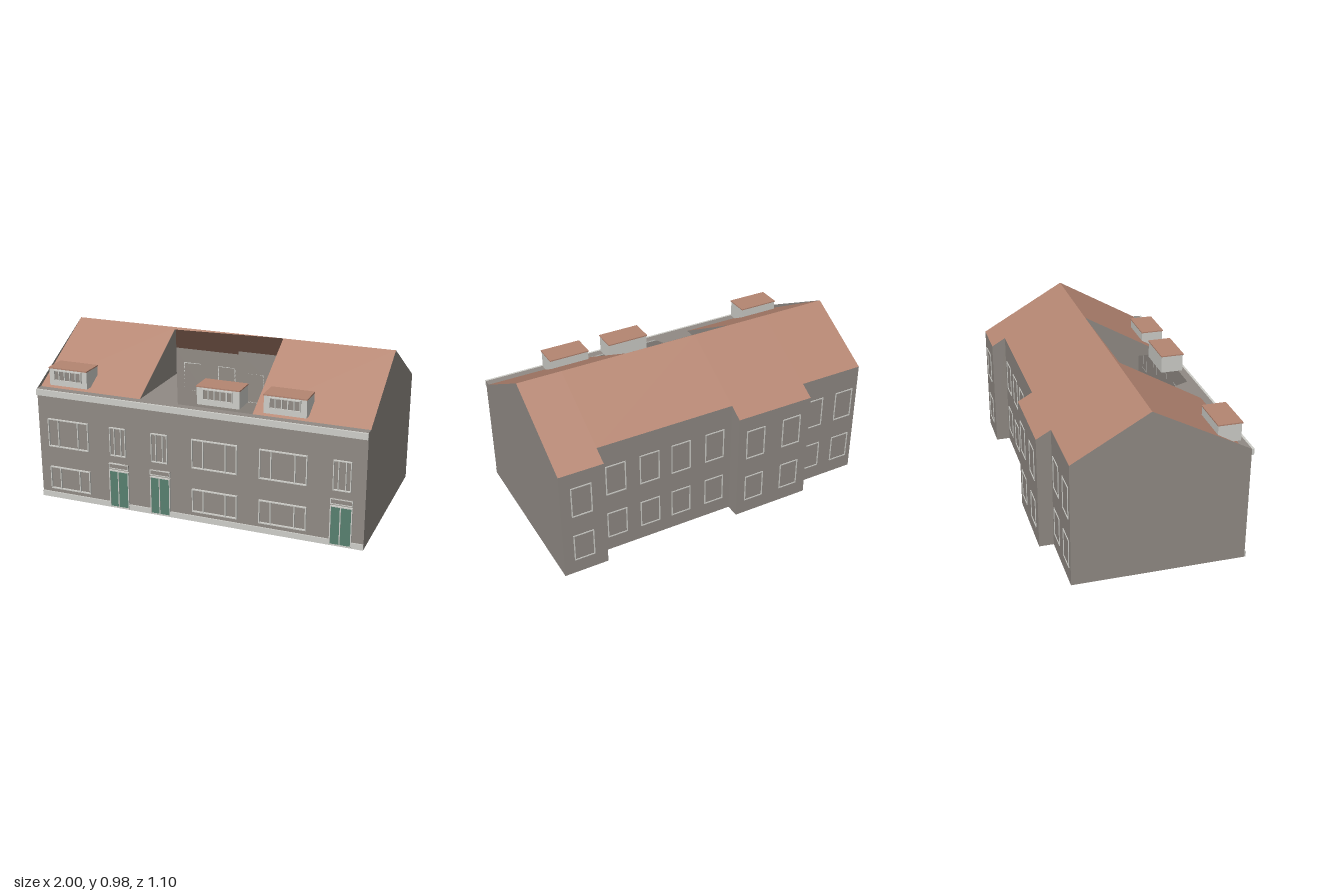
import * as THREE from 'three';

const mat = (name, color, side = THREE.FrontSide) => {
  const m = new THREE.MeshStandardMaterial({ color, side });
  m.name = name;
  return m;
};

const RIDGE_Z = -0.025, RIDGE_Y = 0.98, EAVE_Y = 0.685, EAVE_Z = 0.49;
const FRONT_Z = 0.535, BAY_Z = -0.545, BACK_Z = -0.46;
const HOLE_L = -0.35, HOLE_R = 0.335;

// Roof height at a given depth
const roofY = z => z < RIDGE_Z
  ? RIDGE_Y - (RIDGE_Y - EAVE_Y) * (RIDGE_Z - z) / 0.52
  : Math.max(EAVE_Y, RIDGE_Y - (RIDGE_Y - EAVE_Y) * (z - RIDGE_Z) / 0.515);

// One flat-shaded mesh from a list of convex polygons
function polygons(name, material, faces) {
  const pos = [];
  for (const f of faces)
    for (let i = 1; i < f.length - 1; i++) pos.push(...f[0], ...f[i], ...f[i + 1]);
  const g = new THREE.BufferGeometry();
  g.setAttribute('position', new THREE.Float32BufferAttribute(pos, 3));
  g.computeVertexNormals();
  const mesh = new THREE.Mesh(g, material);
  mesh.name = name;
  return mesh;
}

// Box given by its limits
function box(name, material, x0, x1, y0, y1, z0, z1) {
  const mesh = new THREE.Mesh(new THREE.BoxGeometry(x1 - x0, y1 - y0, z1 - z0), material);
  mesh.position.set((x0 + x1) / 2, (y0 + y1) / 2, (z0 + z1) / 2);
  mesh.name = name;
  return mesh;
}

// Rectangular frame with optional upright bars
function frame(name, material, x0, x1, y0, y1, z0, z1, bars = [], t = 0.006) {
  const g = new THREE.Group();
  g.name = name;
  g.add(box('sill', material, x0, x1, y0, y0 + t, z0, z1));
  g.add(box('head', material, x0, x1, y1 - t, y1, z0, z1));
  for (const x of [x0 + t / 2, x1 - t / 2, ...bars])
    g.add(box('upright', material, x - t / 2, x + t / 2, y0 + t, y1 - t, z0, z1));
  return g;
}

export function createModel() {
  const wall = mat('wall grey', 0x918b85, THREE.DoubleSide);
  const roof = mat('roof terracotta', 0xb58672, THREE.DoubleSide);
  const trim = mat('trim light grey', 0xcecec9);
  const green = mat('door green', 0x57806f);
  const model = new THREE.Group();
  model.name = 'terraceBuilding';

  // Hollow wall shell, following the stepped back
  const plan = [[1, BAY_Z], [0.735, BAY_Z], [0.735, BACK_Z], [-0.11, BACK_Z],
    [-0.11, BAY_Z], [-0.595, BAY_Z], [-0.595, BACK_Z], [-1, BACK_Z]];
  const walls = [];
  for (let i = 0; i < plan.length - 1; i++) {
    const [ax, az] = plan[i], [bx, bz] = plan[i + 1];
    walls.push([[ax, 0, az], [bx, 0, bz], [bx, roofY(bz), bz], [ax, roofY(az), az]]);
  }
  walls.push([[-1, 0, FRONT_Z], [1, 0, FRONT_Z], [1, EAVE_Y, FRONT_Z], [-1, EAVE_Y, FRONT_Z]]);
  for (const [x, back] of [[1, BAY_Z], [-1, BACK_Z]]) {
    const gable = [[x, 0, FRONT_Z], [x, 0, back], [x, roofY(back), back],
      [x, RIDGE_Y, RIDGE_Z], [x, EAVE_Y, EAVE_Z], [x, EAVE_Y, FRONT_Z]];
    walls.push(x > 0 ? gable : gable.reverse());
  }
  model.add(polygons('walls', wall, walls));

  // Ground floor and the ledge behind the cornice
  const floorRect = (x0, x1, z0, z1) => [[x0, 0, z0], [x1, 0, z0], [x1, 0, z1], [x0, 0, z1]];
  model.add(polygons('groundFloor', wall, [
    floorRect(-1, 1, BACK_Z, FRONT_Z),
    floorRect(-0.595, -0.11, BAY_Z, BACK_Z),
    floorRect(0.735, 1, BAY_Z, BACK_Z)]));
  model.add(polygons('eavesLedge', wall, [[[-1, EAVE_Y, FRONT_Z], [1, EAVE_Y, FRONT_Z],
    [1, EAVE_Y, EAVE_Z], [-1, EAVE_Y, EAVE_Z]]]));

  // Roof slopes, open in the middle of the front
  const front = (x0, x1) => [[x0, EAVE_Y, EAVE_Z], [x1, EAVE_Y, EAVE_Z],
    [x1, RIDGE_Y, RIDGE_Z], [x0, RIDGE_Y, RIDGE_Z]];
  const back = (x0, x1, z) => [[x1, roofY(z), z], [x0, roofY(z), z],
    [x0, RIDGE_Y, RIDGE_Z], [x1, RIDGE_Y, RIDGE_Z]];
  model.add(polygons('frontRoof', roof, [front(-1, HOLE_L), front(HOLE_R, 1),
    [[HOLE_L, roofY(-0.007), -0.007], [HOLE_R, RIDGE_Y, RIDGE_Z], [HOLE_L, RIDGE_Y, RIDGE_Z]]]));
  model.add(polygons('backRoof', roof, [back(-1, -0.595, BACK_Z), back(-0.595, -0.11, BAY_Z),
    back(-0.11, 0.735, BACK_Z), back(0.735, 1, BAY_Z)]));

  // Attic party walls beside the opening, with a scrap of attic floor
  const party = x => [[x, EAVE_Y, EAVE_Z], [x, EAVE_Y, RIDGE_Z], [x, RIDGE_Y, RIDGE_Z]];
  model.add(polygons('partyWalls', wall, [party(HOLE_L), party(HOLE_R)]));
  model.add(polygons('atticFloor', wall, [[[HOLE_L, EAVE_Y, EAVE_Z],
    [-0.113, EAVE_Y, EAVE_Z], [HOLE_L, EAVE_Y, RIDGE_Z]]]));

  // Cornice and plinth along the front
  model.add(box('cornice', trim, -1, 1, 0.648, 0.684, FRONT_Z, 0.549));
  model.add(box('plinth', trim, -1, 1, 0, 0.034, FRONT_Z, 0.543));

  // Dormers
  for (const [x0, x1] of [[-0.93, -0.685], [0.008, 0.262], [0.403, 0.648]]) {
    const d = new THREE.Group();
    d.name = 'dormer';
    d.add(box('dormerBody', trim, x0, x1, 0.705, 0.808, 0.366, 0.5));
    d.add(box('dormerRoof', roof, x0 - 0.003, x1 + 0.003, 0.808, 0.815, 0.363, 0.505));
    const c = (x0 + x1) / 2;
    d.add(box('dormerGlass', wall, c - 0.085, c + 0.085, 0.742, 0.798, 0.5, 0.504));
    d.add(frame('dormerFrame', trim, c - 0.09, c + 0.09, 0.737, 0.803, 0.5, 0.512,
      [-0.054, -0.018, 0.018, 0.054].map(o => c + o)));
    model.add(d);
  }

  // Wide front windows on both floors
  const Z1 = 0.547;
  for (const [x0, x1] of [[-0.935, -0.668], [-0.01, 0.265], [0.395, 0.672]])
    for (const [y0, y1] of [[0.06, 0.203], [0.332, 0.508]])
      model.add(frame('frontWindow', trim, x0, x1, y0, y1, FRONT_Z, Z1, [x0 + 0.069, x1 - 0.069]));

  // Doors with fanlights and a narrow window above
  for (const x of [-0.475, -0.21, 0.87]) {
    const e = new THREE.Group();
    e.name = 'entrance';
    e.add(box('door', green, x - 0.058, x + 0.058, 0.01, 0.236, FRONT_Z, 0.545));
    e.add(frame('doorFrame', trim, x - 0.063, x + 0.063, 0.005, 0.241, FRONT_Z, 0.548, [x - 0.004]));
    e.add(box('doorLintel', wall, x - 0.063, x + 0.063, 0.25, 0.284, FRONT_Z, 0.544));
    e.add(frame('fanlight', trim, x - 0.063, x + 0.063, 0.25, 0.284, FRONT_Z, Z1, [], 0.005));
    e.add(frame('upperWindow', trim, x - 0.053, x + 0.049, 0.332, 0.508, FRONT_Z, Z1,
      [x - 0.022, x + 0.02], 0.005));
    model.add(e);
  }

  // Back windows on the recesses and bays
  const columns = [[-0.905, BACK_Z], [-0.69, BACK_Z], [-0.47, BAY_Z], [-0.225, BAY_Z],
    [0.0, BACK_Z], [0.22, BACK_Z], [0.42, BACK_Z], [0.63, BACK_Z], [0.875, BAY_Z]];
  for (const [x, z] of columns)
    for (const [y0, y1] of [[0.09, 0.265], [0.395, 0.59]])
      model.add(frame('backWindow', trim, x - 0.062, x + 0.062, y0, y1, z - 0.004, z, []));

  return model;
}
